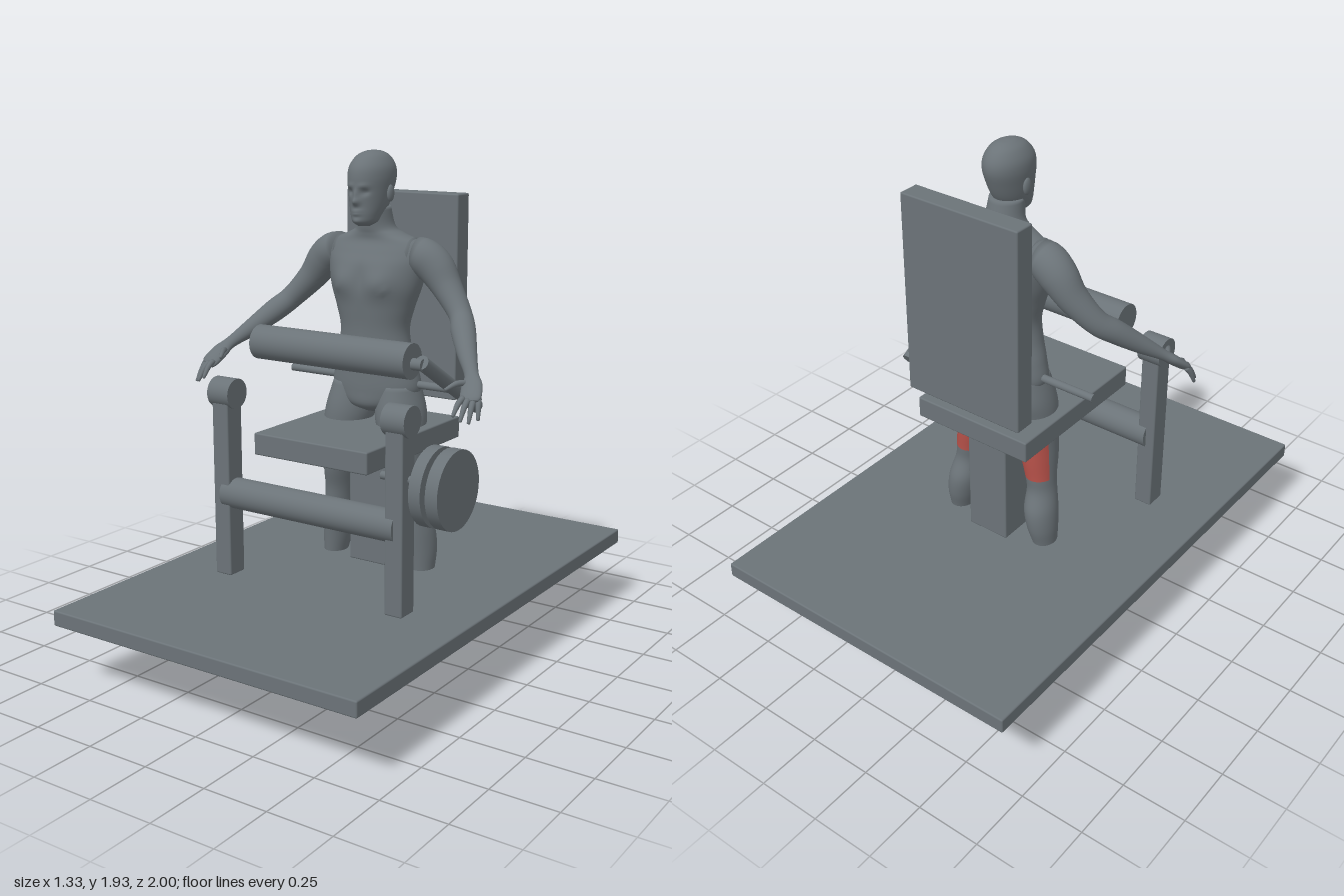
import * as THREE from 'three';
import { RoundedBoxGeometry } from 'three/addons/geometries/RoundedBoxGeometry.js';

const grey = new THREE.MeshStandardMaterial({ color: 0x6b7378 });
grey.name = 'slate grey';
const red = new THREE.MeshStandardMaterial({ color: 0xb8524a });
red.name = 'muscle red';

function add(parent, name, geometry, material = grey) {
  const mesh = new THREE.Mesh(geometry, material);
  mesh.name = name;
  parent.add(mesh);
  return mesh;
}

// Box given by its lower and upper corners
function box(parent, name, [x0, y0, z0], [x1, y1, z1]) {
  const mesh = add(parent, name, new RoundedBoxGeometry(x1 - x0, y1 - y0, z1 - z0, 2, 0.006));
  mesh.position.set((x0 + x1) / 2, (y0 + y1) / 2, (z0 + z1) / 2);
}

// Cylinder lying along x
function bar(parent, name, x0, x1, y, z, r) {
  const mesh = add(parent, name, new THREE.CylinderGeometry(r, r, x1 - x0, 40));
  mesh.rotation.z = Math.PI / 2;
  mesh.position.set((x0 + x1) / 2, y, z);
}

function ball(parent, name, [x, y, z], [a, b, c]) {
  const mesh = add(parent, name, new THREE.SphereGeometry(1, 16, 12));
  mesh.position.set(x, y, z);
  mesh.scale.set(a, b, c);
}

// Smooth skin over elliptical sections [x, y, z, halfWidth, halfDepth];
// faces whose centre passes isRed go to the second material group
function loft(sections, { axis, sides = 24, steps = 4, isRed = () => false } = {}) {
  const path = new THREE.CatmullRomCurve3(sections.map(s => new THREE.Vector3(s[0], s[1], s[2])), false, 'catmullrom');
  const size = new THREE.CatmullRomCurve3(sections.map(s => new THREE.Vector3(s[3], s[4], 0)), false, 'catmullrom');
  const n = (sections.length - 1) * steps;
  const pos = [], plain = [], painted = [];
  for (let i = 0; i <= n; i++) {
    const c = path.getPoint(i / n), r = size.getPoint(i / n);
    const t = axis ? new THREE.Vector3(...axis) : path.getTangent(i / n);
    const side = new THREE.Vector3(1, 0, 0).addScaledVector(t, -t.x).normalize();
    const other = t.clone().cross(side);
    for (let j = 0; j < sides; j++) {
      const a = j / sides * Math.PI * 2;
      const p = c.clone().addScaledVector(side, Math.cos(a) * r.x).addScaledVector(other, Math.sin(a) * r.y);
      pos.push(p.x, p.y, p.z);
    }
  }
  for (let i = 0; i < n; i++) {
    for (let j = 0; j < sides; j++) {
      const k = (j + 1) % sides;
      const a = i * sides + j, b = i * sides + k, c = b + sides, d = a + sides;
      const list = isRed((pos[a * 3 + 1] + pos[c * 3 + 1]) / 2, (pos[a * 3 + 2] + pos[c * 3 + 2]) / 2) ? painted : plain;
      list.push(a, b, c, a, c, d);
    }
  }
  // End caps
  const first = pos.length / 3, last = first + 1, top = n * sides;
  pos.push(...sections[0].slice(0, 3), ...sections.at(-1).slice(0, 3));
  for (let j = 0; j < sides; j++) {
    const k = (j + 1) % sides;
    plain.push(first, k, j, last, top + j, top + k);
  }
  const g = new THREE.BufferGeometry();
  g.setAttribute('position', new THREE.Float32BufferAttribute(pos, 3));
  g.setIndex([...plain, ...painted]);
  g.addGroup(0, plain.length, 0);
  g.addGroup(plain.length, painted.length, 1);
  g.computeVertexNormals();
  return g;
}

// Push the skin along z around a centre and its mirror image: [x, y, z, radius, height, push]
function sculpt(geometry, bumps) {
  const p = geometry.attributes.position;
  for (const [bx, by, bz, r, h, push] of bumps) {
    for (let i = 0; i < p.count; i++) {
      const dx = (Math.abs(p.getX(i)) - bx) / r, dy = (p.getY(i) - by) / h, dz = (p.getZ(i) - bz) / (r * 2);
      p.setZ(i, p.getZ(i) + push * Math.exp(-(dx * dx + dy * dy + dz * dz)));
    }
  }
  geometry.computeVertexNormals();
  return geometry;
}

function buildMachine() {
  const m = new THREE.Group();
  m.name = 'machine';
  box(m, 'platform', [-0.665, 0.25, -1], [0.665, 0.31, 1]);
  box(m, 'seatPost', [-0.09, 0.31, -0.24], [0.09, 0.81, -0.065]);
  box(m, 'seat', [-0.255, 0.805, -0.33], [0.255, 0.89, 0.33]);
  box(m, 'backrest', [-0.255, 0.96, -0.375], [0.255, 1.76, -0.29]);
  for (const s of [-1, 1]) {
    box(m, 'sidePost', [s * 0.39 - 0.037, 0.31, 0.28], [s * 0.39 + 0.037, 1.02, 0.365]);
    bar(m, 'postCap', s * 0.39 - 0.049, s * 0.39 + 0.049, 1.027, 0.32, 0.058);
  }
  bar(m, 'legRoller', -0.39, 0.39, 0.635, 0.32, 0.06);
  bar(m, 'weightRod', 0.31, 0.62, 0.815, 0.315, 0.015);
  bar(m, 'innerWeight', 0.51, 0.556, 0.81, 0.317, 0.144);
  bar(m, 'outerWeight', 0.576, 0.624, 0.81, 0.317, 0.144);
  // Lap bar with its lever and pivot
  bar(m, 'lapRoller', -0.345, 0.343, 1.205, 0.17, 0.066);
  bar(m, 'lapRollerPin', 0.34, 0.385, 1.195, 0.165, 0.022);
  bar(m, 'pivotRod', -0.41, 0.41, 1.045, -0.13, 0.015);
  const lever = add(m, 'lapLever', new THREE.CylinderGeometry(0.027, 0.027, 0.47, 28));
  lever.position.set(0.378, 1.085, -0.038);
  lever.rotation.x = Math.atan2(0.4, 0.235);
  return m;
}

function buildFigure() {
  const f = new THREE.Group();
  f.name = 'figure';
  const up = [0, 1, 0];

  const torso = loft([
    [0, 0.93, -0.12, 0.05, 0.05], [0, 0.96, -0.12, 0.13, 0.1], [0, 1.02, -0.125, 0.188, 0.113],
    [0, 1.1, -0.122, 0.178, 0.11], [0, 1.18, -0.113, 0.155, 0.103], [0, 1.26, -0.11, 0.145, 0.102],
    [0, 1.34, -0.112, 0.165, 0.112], [0, 1.42, -0.118, 0.192, 0.125], [0, 1.5, -0.128, 0.208, 0.123],
    [0, 1.55, -0.132, 0.21, 0.103], [0, 1.59, -0.132, 0.185, 0.083], [0, 1.618, -0.125, 0.115, 0.076],
    [0, 1.645, -0.115, 0.075, 0.072], [0, 1.72, -0.1, 0.062, 0.068]
  ], { axis: up, sides: 64, steps: 6 });
  // Chest, breastbone, belly line, nipples, shoulder blades, spine and buttocks
  add(f, 'torso', sculpt(torso, [
    [0.085, 1.44, 0, 0.05, 0.05, 0.018], [0, 1.45, 0, 0.018, 0.06, -0.008], [0, 1.27, 0, 0.012, 0.12, -0.006],
    [0.105, 1.412, 0, 0.01, 0.01, 0.007], [0.1, 1.5, -0.23, 0.05, 0.06, -0.016],
    [0, 1.35, -0.23, 0.025, 0.18, 0.014], [0.085, 1.01, -0.23, 0.055, 0.06, -0.022]
  ]));

  const head = loft([
    [0, 1.65, -0.035, 0.022, 0.028], [0, 1.665, -0.045, 0.045, 0.058], [0, 1.69, -0.055, 0.056, 0.075],
    [0, 1.73, -0.07, 0.068, 0.09], [0, 1.78, -0.08, 0.077, 0.103], [0, 1.83, -0.087, 0.083, 0.112],
    [0, 1.87, -0.09, 0.078, 0.105], [0, 1.905, -0.093, 0.057, 0.078], [0, 1.922, -0.095, 0.03, 0.042],
    [0, 1.927, -0.095, 0.006, 0.008]
  ], { axis: up, sides: 72, steps: 8 });
  // Nose, eye sockets, brows, lips and chin
  add(f, 'head', sculpt(head, [
    [0, 1.742, 0.02, 0.015, 0.014, 0.018], [0, 1.768, 0.02, 0.01, 0.02, 0.009], [0.032, 1.777, 0.012, 0.015, 0.011, -0.011],
    [0.028, 1.8, 0.015, 0.02, 0.009, 0.005], [0, 1.708, 0.02, 0.02, 0.006, 0.006], [0, 1.696, 0.02, 0.018, 0.006, 0.006],
    [0, 1.668, 0.013, 0.02, 0.013, 0.008]
  ]));

  for (const s of [-1, 1]) {
    const mirror = list => list.map(([x, ...rest]) => [s * x, ...rest]);
    ball(f, 'ear', [s * 0.08, 1.77, -0.09], [0.011, 0.032, 0.02]);
    add(f, 'arm', loft(mirror([
      [0.13, 1.54, -0.13, 0.05, 0.06], [0.19, 1.54, -0.132, 0.07, 0.072], [0.25, 1.5, -0.138, 0.072, 0.07],
      [0.31, 1.425, -0.13, 0.056, 0.058], [0.385, 1.34, -0.095, 0.044, 0.046], [0.43, 1.29, -0.04, 0.046, 0.044],
      [0.49, 1.225, 0.035, 0.036, 0.034], [0.545, 1.17, 0.1, 0.026, 0.021], [0.567, 1.14, 0.135, 0.038, 0.02],
      [0.585, 1.105, 0.175, 0.04, 0.017], [0.592, 1.09, 0.19, 0.03, 0.012]
    ]), { sides: 32, steps: 5 }));
    // Four fingers, then the thumb
    const fingers = [
      [[0.612, 1.105, 0.165], [0.63, 1.035, 0.2]], [[0.6, 1.1, 0.18], [0.612, 1.028, 0.235]],
      [[0.583, 1.1, 0.19], [0.588, 1.035, 0.252]], [[0.564, 1.105, 0.19], [0.56, 1.05, 0.255]],
      [[0.55, 1.145, 0.13], [0.505, 1.13, 0.215]]
    ];
    for (const [a, b] of fingers) {
      const mid = a.map((v, i) => (v + b[i]) / 2);
      mid[1] += 0.01;
      add(f, 'finger', loft(mirror([[...a, 0.011, 0.011], [...mid, 0.0105, 0.0105], [...b, 0.006, 0.006]]), { sides: 10 }));
    }
    // Leg, with the hamstring in red
    const leg = loft(mirror([
      [0.105, 1.04, -0.125, 0.075, 0.095], [0.113, 0.95, -0.12, 0.095, 0.11], [0.123, 0.88, -0.11, 0.095, 0.104],
      [0.142, 0.78, -0.105, 0.076, 0.094], [0.158, 0.68, -0.11, 0.066, 0.083], [0.17, 0.6, -0.118, 0.058, 0.068],
      [0.178, 0.54, -0.122, 0.056, 0.064], [0.188, 0.46, -0.14, 0.063, 0.074], [0.199, 0.38, -0.145, 0.058, 0.068],
      [0.208, 0.3, -0.14, 0.045, 0.054], [0.217, 0.2, -0.138, 0.034, 0.042], [0.22, 0.12, -0.14, 0.03, 0.04],
      [0.222, 0.05, -0.145, 0.033, 0.042]
    ]), { axis: [0, -1, 0], sides: 40, steps: 6, isRed: (y, z) => y > 0.6 && y < 0.83 && z < -0.135 });
    add(f, 'leg', leg, [grey, red]);
    add(f, 'foot', loft(mirror([
      [0.222, 0.035, -0.195, 0.012, 0.018], [0.222, 0.045, -0.175, 0.032, 0.044], [0.222, 0.058, -0.12, 0.037, 0.057],
      [0.224, 0.043, -0.05, 0.042, 0.042], [0.228, 0.026, 0.01, 0.048, 0.026], [0.229, 0.017, 0.05, 0.045, 0.016]
    ]), { axis: [0, 0, 1], sides: 28 }));
    for (let i = 0; i < 5; i++) {
      const r = i ? 0.0105 : 0.015;
      ball(f, 'toe', [s * (0.195 + i * 0.0175), r, 0.065 - i * 0.009], [r, r, 0.027]);
    }
  }
  return f;
}

export function createModel() {
  const model = new THREE.Group();
  model.name = 'legCurlMachineWithFigure';
  model.add(buildMachine(), buildFigure());
  return model;
}
